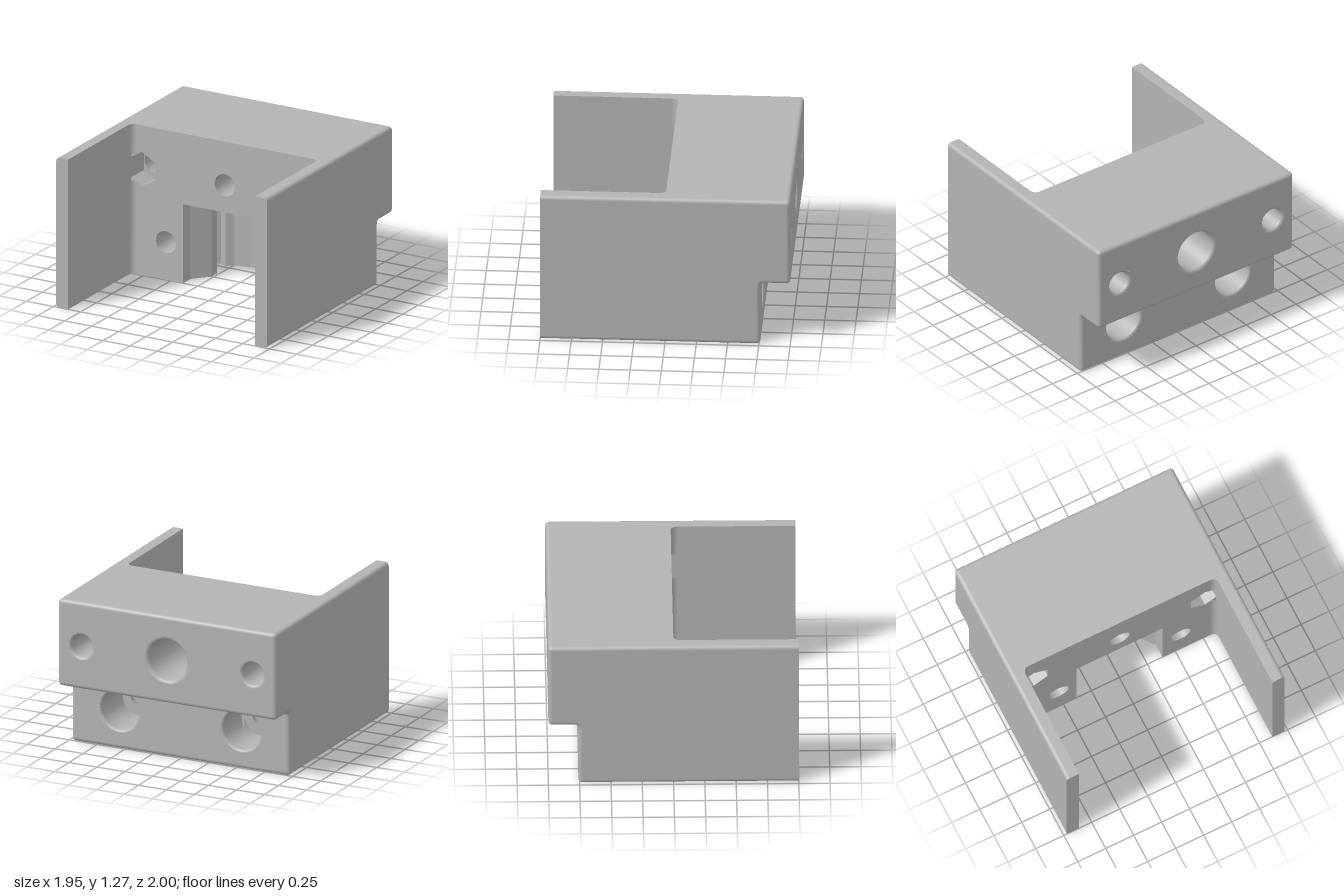
import * as THREE from 'three';
import { toCreasedNormals } from 'three/addons/utils/BufferGeometryUtils.js';

const W = 0.975, H = 1.27, R = 0.03;      // half width, height, edge rounding
const IN = 0.865, FIL = 0.05;             // inner wall face and its corner fillet
const STEP_Y = 0.54, STEP_Z = -0.76;      // rear step
const SLOT_Y = 0.67;                      // pocket height

export function createModel() {
  const model = new THREE.Group();
  const grey = new THREE.MeshStandardMaterial({ color: 0xb3b3b3 });
  grey.name = 'grey plastic';
  const add = (name, geo) => {
    const mesh = new THREE.Mesh(geo, grey);
    mesh.name = name;
    model.add(mesh);
  };
  const V2 = (x, y) => new THREE.Vector2(x, y);
  const V3 = (x, y, z) => new THREE.Vector3(x, y, z);
  const shapeOf = (pts) => new THREE.Shape(pts.map((p) => V2(p[0], p[1])));
  const rect = (x0, y0, x1, y1) => shapeOf([[x0, y0], [x1, y0], [x1, y1], [x0, y1]]);
  const circle = (x, y, r) => new THREE.Path().absarc(x, y, r, 0, Math.PI * 2);
  const arc = (cx, cy, r, from, to, n = 5) => Array.from({ length: n + 1 }, (_, i) => {
    const t = (from + (to - from) * i / n) * Math.PI / 180;
    return [cx + r * Math.cos(t), cy + r * Math.sin(t)];
  });

  // Flat face: maps a 2D shape into space, facing along the given normal
  const flat = (name, shape, map, normal) => {
    const geo = new THREE.ShapeGeometry(shape, 32);
    const p = geo.attributes.position;
    for (let i = 0; i < p.count; i++) p.setXYZ(i, ...map(p.getX(i), p.getY(i)));
    geo.computeVertexNormals();
    if (V3().fromBufferAttribute(geo.attributes.normal, 0).dot(V3(...normal)) < 0) {
      geo.setIndex(Array.from(geo.index.array).reverse());
      geo.computeVertexNormals();
    }
    add(name, geo);
  };

  // Surface through rows of points, facing (row direction) x (column direction)
  const loft = (name, rows, crease) => {
    const n = rows[0].length, idx = [];
    const geo = new THREE.BufferGeometry().setFromPoints(rows.flat().map((p) => V3(...p)));
    for (let i = 0; i < rows.length - 1; i++) {
      for (let j = 0; j < n - 1; j++) {
        const a = i * n + j, b = a + n;
        idx.push(a, b, a + 1, b, b + 1, a + 1);
      }
    }
    geo.setIndex(idx);
    geo.computeVertexNormals();
    add(name, crease === undefined ? geo : toCreasedNormals(geo, crease));
  };

  // Side outline (z, y) inset by d: its four rounded corners, bottom to top
  const corners = (d) => [
    arc(STEP_Z + R, R, R - d, -90, -180),
    arc(STEP_Z - R, STEP_Y - R, R + d, 0, 90),
    arc(-1 + R, STEP_Y + R, R - d, -90, -180),
    arc(-1 + R, H - R, R - d, 180, 90),
  ];
  const outline = (d) => [[1, d], ...corners(d).flat(), [1, H - d]];

  // Outer sides with their rounded rims
  for (const s of [1, -1]) {
    flat('outerSide', shapeOf(outline(R)), (z, y) => [s * W, y, z], [s, 0, 0]);
    const rows = arc(0, 0, R, 0, 90).map(([c, d]) =>
      outline(R - d).map(([z, y]) => [s * (W - R + c), y, z]));
    loft('sideRim', s > 0 ? rows : rows.reverse());
  }
  // Rounded edges across the back
  for (const c of corners(0)) {
    loft('backEdge', [W - R, R - W].map((x) => c.map(([z, y]) => [x, y, z])));
  }

  // Pocket outline (x, z) from the front edge round to the other side
  const half = [[0.385, 0], [0.385, -0.12], [0.27, -0.25], [0.27, -0.34], [0.33, -0.385],
    [0.37, -0.42], [0.42, -0.46], [0.42, -0.52], [0.36, -0.56], [0.3, -0.53],
    [0.25, -0.57], [0.11, -0.6]];
  const mirror = (pts) => pts.map(([x, z]) => [-x, z]).reverse();
  const pocket = [...half, ...mirror(half)];
  loft('pocketWall', [0, SLOT_Y].map((y) => pocket.map(([x, z]) => [x, y, z])), 0.1);
  flat('pocketCeiling', shapeOf(pocket), (x, z) => [x, SLOT_Y, z], [0, -1, 0]);

  // Top and bottom faces
  const fillet = arc(IN - FIL, FIL, FIL, 0, -90);
  const plan = (back, middle) => shapeOf([[R - W, back], [W - R, back], [W - R, 1], [IN, 1],
    ...fillet, ...middle, ...mirror(fillet), [-IN, 1], [R - W, 1]]);
  flat('top', plan(-1 + R, []), (x, z) => [x, H, z], [0, 1, 0]);
  flat('bottom', plan(STEP_Z + R, pocket), (x, z) => [x, 0, z], [0, -1, 0]);
  flat('stepUnderside', rect(R - W, -1 + R, W - R, STEP_Z - R),
    (x, z) => [x, STEP_Y, z], [0, -1, 0]);

  // Side walls: inner faces, front ends and the inner corner fillets
  for (const s of [1, -1]) {
    flat('innerSide', rect(0, 0, 1, H), (z, y) => [s * IN, y, z], [-s, 0, 0]);
    flat('wallEnd', shapeOf([[IN, 0], ...arc(W - R, R, R, -90, 0),
      ...arc(W - R, H - R, R, 0, 90), [IN, H]]), (x, y) => [s * x, y, 1], [0, 0, 1]);
    const f = s > 0 ? fillet : mirror(fillet);
    for (const span of [[0, 0.79], [1.015, H]]) {
      loft('innerCorner', span.map((y) => f.map(([x, z]) => [x, y, z])));
    }
  }

  // Bolt holes: [x, y, bore behind, rounding, rear z, front z]
  const BORE = 0.093, HEX_D = 0.2, SEAT = -0.38;
  const hexX = 0.765, hexY = 0.9;
  const upper = [[0, 0.9, 0.17, 0.03, 0], [hexX, hexY, BORE, 0.025, -HEX_D],
    [-hexX, hexY, BORE, 0.025, -HEX_D]];
  const lower = [[0.545, 0.32, 0.165, 0.022, 0], [-0.545, 0.32, 0.165, 0.022, 0]];

  const front = shapeOf([[-IN, 0], [-0.385, 0], [-0.385, SLOT_Y], [0.385, SLOT_Y],
    [0.385, 0], [IN, 0], [IN, H], [-IN, H]]);
  const upperBack = rect(R - W, STEP_Y + R, W - R, H - R);
  const lowerBack = rect(R - W, R, W - R, STEP_Y - R);

  const drill = (holes, back, backZ) => {
    for (const [x, y, r, round, frontZ] of holes) {
      const pts = [V2(BORE, frontZ)];
      if (r > BORE) pts.push(V2(BORE, SEAT), V2(r, SEAT));
      pts.push(...arc(r + round, backZ + round, round, 180, 270, 6).map((p) => V2(...p)));
      const geo = new THREE.LatheGeometry(pts, 32).rotateX(Math.PI / 2);
      geo.deleteAttribute('uv');
      add('boltHole', toCreasedNormals(geo.translate(x, y, 0), 0.5));
      back.holes.push(circle(x, y, r + round));
      if (frontZ === 0) front.holes.push(circle(x, y, BORE));
    }
  };
  drill(upper, upperBack, -1);
  drill(lower, lowerBack, STEP_Z);

  // Hexagonal nut seats, cut off at the side walls
  for (const s of [1, -1]) {
    const hex = [[0.64, -0.0725], [hexX, -0.145], [IN, -0.087], [IN, 0.087],
      [hexX, 0.145], [0.64, 0.0725]].map(([x, y]) => [s * x, hexY + y]);
    if (s < 0) hex.reverse();
    front.holes.push(new THREE.Path(hex.map((p) => V2(...p))));
    const loop = [...hex, hex[0]];
    loft('nutSeatWall', [-HEX_D, 0].map((z) => loop.map(([x, y]) => [x, y, z])), 0.1);
    const floor = shapeOf(hex);
    floor.holes.push(circle(s * hexX, hexY, BORE));
    flat('nutSeatFloor', floor, (x, y) => [x, y, -HEX_D], [0, 0, 1]);
  }

  flat('frontFace', front, (x, y) => [x, y, 0], [0, 0, 1]);
  flat('upperBack', upperBack, (x, y) => [x, y, -1], [0, 0, -1]);
  flat('lowerBack', lowerBack, (x, y) => [x, y, STEP_Z], [0, 0, -1]);
  return model;
}
